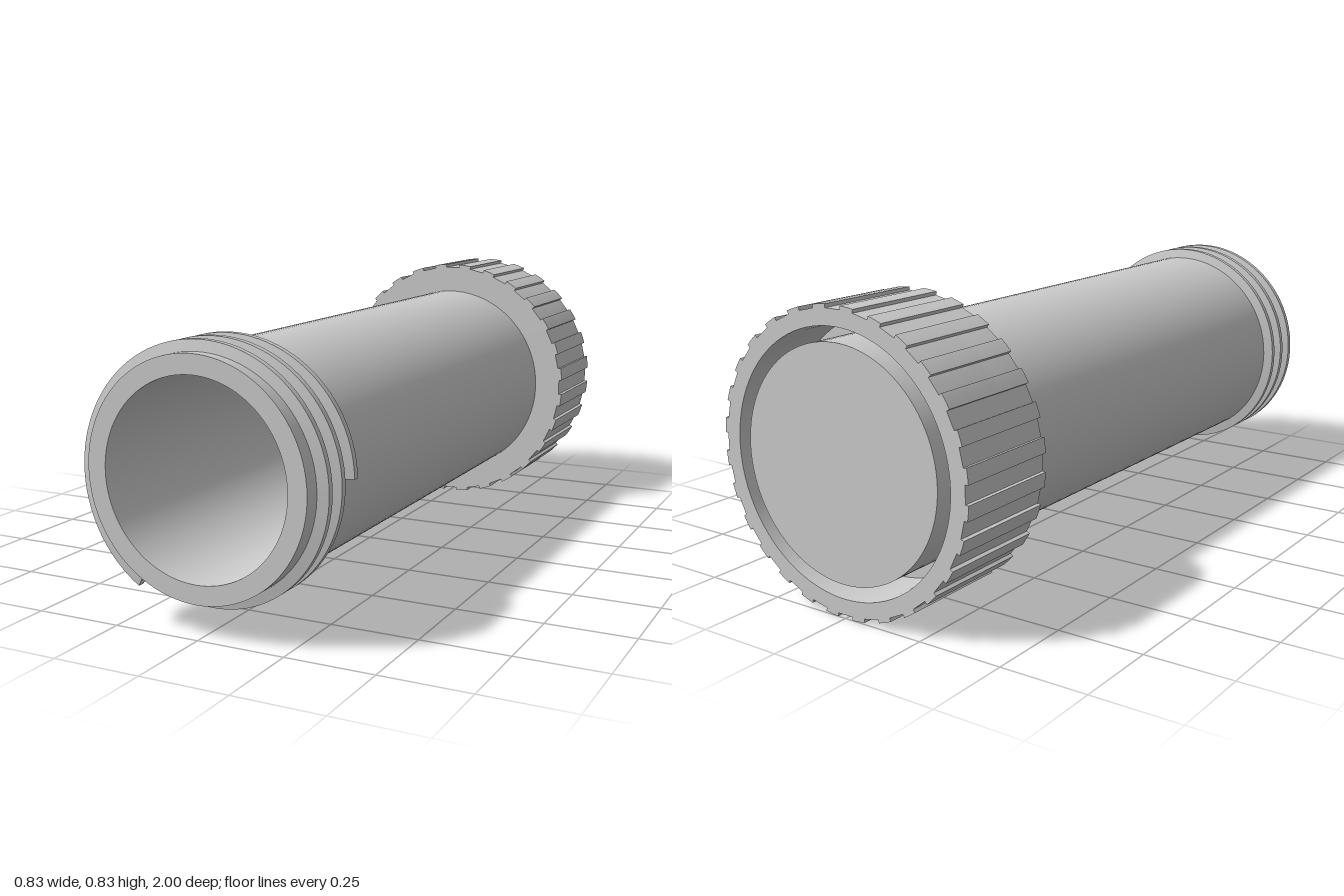
import * as THREE from 'three';
import { mergeGeometries, toCreasedNormals } from 'three/addons/utils/BufferGeometryUtils.js';

const CAP_R = 0.415, TUBE_R = 0.32, BORE_R = 0.267, SOCKET_R = 0.36;
const material = new THREE.MeshStandardMaterial({ color: 0xcccccc });

function part(name, geometry) {
  const mesh = new THREE.Mesh(geometry, material);
  mesh.name = name;
  return mesh;
}

// Lathe around z with a sharp edge at every profile point [radius, z]
function sharpLathe(profile, segments = 96) {
  const bands = [];
  for (let i = 0; i < profile.length - 1; i++) {
    const pair = [profile[i], profile[i + 1]].map(([r, z]) => new THREE.Vector2(r, z));
    bands.push(new THREE.LatheGeometry(pair, segments));
  }
  return mergeGeometries(bands).rotateX(Math.PI / 2);
}

// Knurled ring: raised ribs alternating with flat-bottomed notches
function knurledRing(holeRadius, z0, z1) {
  const count = 28, step = (Math.PI * 2) / count, halfNotch = 0.061;
  const shape = new THREE.Shape();
  const point = (r, a) => {
    const x = r * Math.cos(a), y = r * Math.sin(a);
    if (shape.curves.length === 0 && shape.currentPoint.length() === 0) shape.moveTo(x, y);
    else shape.lineTo(x, y);
  };
  for (let i = 0; i < count; i++) {
    const a = i * step;
    point(0.405, a - halfNotch);
    point(0.405, a + halfNotch);
    for (let k = 0; k <= 2; k++) {
      point(CAP_R, a + halfNotch + (k / 2) * (step - 2 * halfNotch));
    }
  }
  shape.closePath();
  const hole = new THREE.Path();
  hole.absarc(0, 0, holeRadius, 0, Math.PI * 2, true);
  shape.holes.push(hole);
  const geometry = new THREE.ExtrudeGeometry(shape, {
    depth: z1 - z0, bevelEnabled: false, curveSegments: 48,
  });
  return toCreasedNormals(geometry.translate(0, 0, z0), 0.3);
}

// Trapezoid ridge swept along a helix, closed at both ends
function screwThread() {
  const section = [[0.315, -0.016], [0.35, -0.009], [0.35, 0.009], [0.315, 0.016]];
  const turns = 2.663, steps = 256, pitch = 0.068, zStart = 0.8;
  const positions = [], index = [];
  for (let i = 0; i <= steps; i++) {
    const t = (i / steps) * turns, a = t * Math.PI * 2;
    for (const [r, dz] of section) {
      positions.push(r * Math.cos(a), r * Math.sin(a), zStart + pitch * t + dz);
    }
  }
  for (let i = 0; i < steps; i++) {
    for (let j = 0; j < 4; j++) {
      const k = (j + 1) % 4;
      const a = i * 4 + j, b = a + 4, c = i * 4 + 4 + k, d = i * 4 + k;
      index.push(a, b, c, a, c, d);
    }
  }
  const e = steps * 4;
  index.push(0, 1, 2, 0, 2, 3, e, e + 2, e + 1, e, e + 3, e + 2);
  const geometry = new THREE.BufferGeometry();
  geometry.setAttribute('position', new THREE.Float32BufferAttribute(positions, 3));
  geometry.setIndex(index);
  return toCreasedNormals(geometry, 0.4);
}

// Half-ring eyelet standing on the floor of the bore
function eyelet(floorZ) {
  const shape = new THREE.Shape();
  shape.absarc(0, 0, 0.11, 0, Math.PI, false);
  shape.absarc(0, 0, 0.06, Math.PI, 0, true);
  shape.closePath();
  const geometry = new THREE.ExtrudeGeometry(shape, {
    depth: 0.056, bevelEnabled: false, curveSegments: 32,
  });
  geometry.translate(0, 0, -0.028).rotateX(Math.PI / 2).translate(0, 0, floorZ);
  return toCreasedNormals(geometry, 0.4);
}

export function createModel() {
  const model = new THREE.Group();
  model.name = 'threadedContainer';
  const floorZ = -0.95;

  // Hollow tube, open at the front and closed at the back
  model.add(part('tube', sharpLathe([
    [0, -1], [TUBE_R, -1], [TUBE_R, 1], [BORE_R, 1], [BORE_R, floorZ], [0, floorZ],
  ])));
  model.add(part('screwThread', screwThread()));

  // Cap collar with a ring groove open to the back
  const cap = new THREE.Group();
  cap.name = 'knurledCap';
  cap.add(part('capSkirt', knurledRing(SOCKET_R, -1, -0.8)));
  cap.add(part('capShoulder', knurledRing(TUBE_R - 0.002, -0.8, -0.68)));
  model.add(cap);

  model.add(part('eyelet', eyelet(floorZ)));

  model.position.y = CAP_R;
  return model;
}
